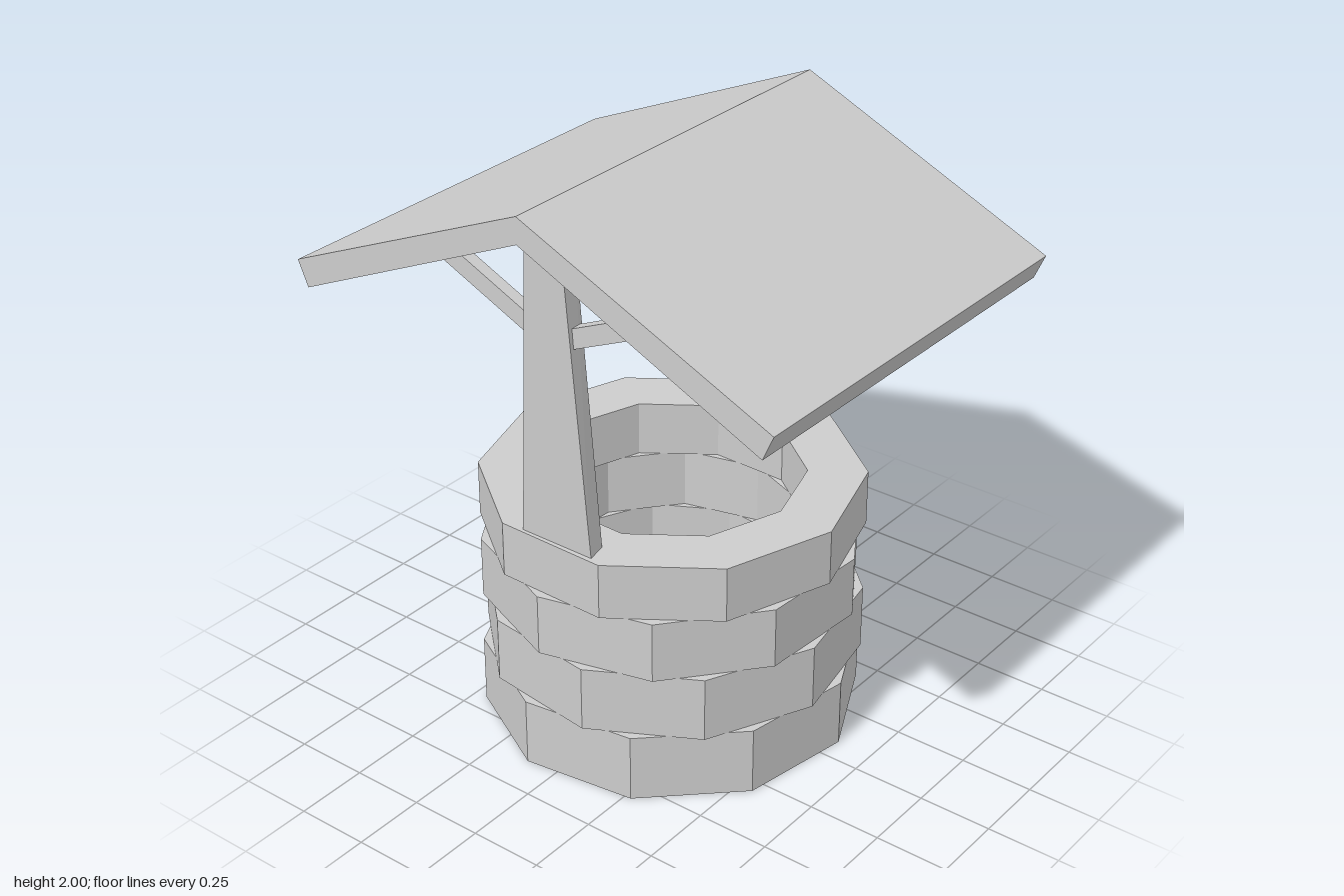
import * as THREE from 'three';

export function createModel() {
  const model = new THREE.Group();
  model.name = 'well';
  const grey = new THREE.MeshStandardMaterial({ color: 0xcccccc, flatShading: true });
  grey.name = 'light grey';

  const add = (name, geometry, parent = model) => {
    const mesh = new THREE.Mesh(geometry, grey);
    mesh.name = name;
    parent.add(mesh);
    return mesh;
  };

  // Four ten-sided stone courses, each turned a little: [bottom, top, angle in degrees]
  const outer = 0.63, inner = 0.435;
  const courses = [[0, 0.235, 7.7], [0.235, 0.46, -7], [0.46, 0.67, 14.2], [0.67, 0.86, -1]];
  const wall = new THREE.Group();
  wall.name = 'stoneWall';
  model.add(wall);
  courses.forEach(([y0, y1, turn], i) => {
    const profile = [[outer, y0], [outer, y1], [inner, y1], [inner, y0], [outer, y0]]
      .map(([r, y]) => new THREE.Vector2(r, y));
    add('stoneCourse' + (i + 1),
      new THREE.LatheGeometry(profile, 10, THREE.MathUtils.degToRad(turn), Math.PI * 2), wall);
  });

  // Tapered post, leaning outward and slightly skewed; side is +1 (left) or -1 (right)
  const postGeometry = (side) => {
    const g = new THREE.BoxGeometry(1, 1, 1);
    const p = g.attributes.position;
    for (let i = 0; i < p.count; i++) {
      const isOuter = p.getX(i) * side > 0;
      const isTop = p.getY(i) > 0;
      const isFront = p.getZ(i) > 0;
      const x = (isTop ? 0.54 : 0.515) + (isOuter ? 0.07 : 0);
      const half = isTop ? 0.066 : 0.136;
      const skew = (isOuter ? 1 : -1) * (isTop ? 0.003 : 0.007);
      p.setXYZ(i, side * x, isTop ? 1.92 : 0.855, (isFront ? half : -half) + skew);
    }
    g.computeVertexNormals();
    return g;
  };

  // Posts with a slanted brace to the front and to the back
  for (const side of [1, -1]) {
    const frame = new THREE.Group();
    frame.name = side > 0 ? 'leftFrame' : 'rightFrame';
    model.add(frame);
    add('post', postGeometry(side), frame);
    for (const dir of [1, -1]) {
      const brace = add('brace', new THREE.BoxGeometry(0.042, 0.062, 0.44), frame);
      brace.position.set(side * 0.565, 1.651, dir * 0.225);
      brace.rotation.x = -dir * Math.atan(0.45);
    }
  }

  // Gabled roof: a bent slab swept along x
  const section = new THREE.Shape([[0, 2], [-0.9, 1.605], [-0.863, 1.52], [0, 1.912],
    [0.863, 1.52], [0.9, 1.605]].map(([z, y]) => new THREE.Vector2(z, y)));
  const width = 1.43;
  const roof = new THREE.ExtrudeGeometry(section, { depth: width, bevelEnabled: false });
  roof.translate(0, 0, -width / 2);
  roof.rotateY(Math.PI / 2);
  add('roof', roof);

  return model;
}
